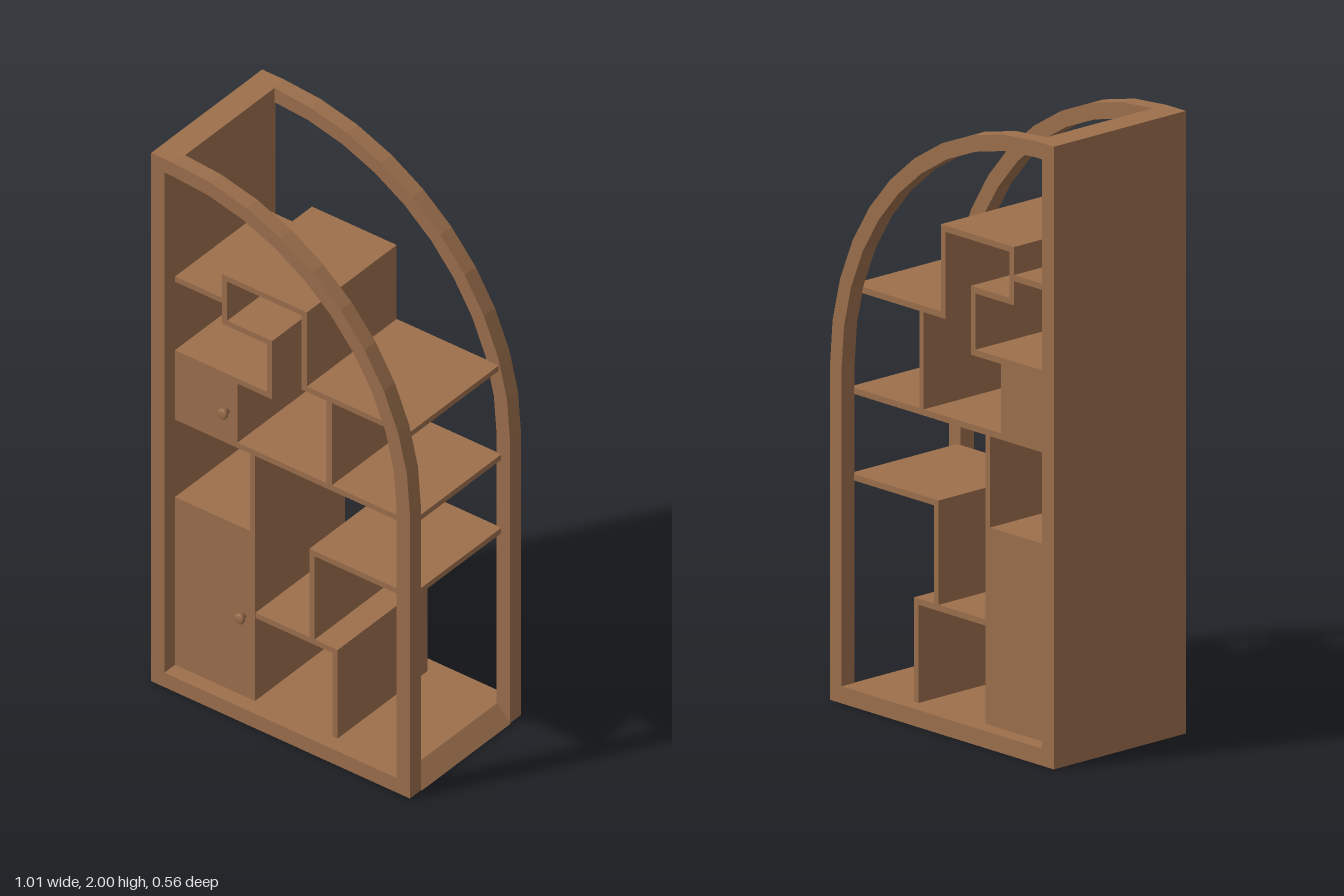
import * as THREE from 'three';

export function createModel() {
  const group = new THREE.Group();
  const wood = new THREE.MeshStandardMaterial({ color: 0x9c6f4c });
  wood.name = 'brown wood';

  const add = (name, geometry) => {
    const mesh = new THREE.Mesh(geometry, wood);
    mesh.name = name;
    group.add(mesh);
    return mesh;
  };
  // Box given by its left, right, bottom and top, running between the two frames
  const board = (name, x0, x1, y0, y1, depth = 0.45) =>
    add(name, new THREE.BoxGeometry(x1 - x0, y1 - y0, depth))
      .position.set((x0 + x1) / 2, (y0 + y1) / 2, 0);

  // Outline of the quarter arch: straight left side, faceted curve to the right
  const archPoints = (left, bottom, radius) => {
    const points = [new THREE.Vector2(left, bottom), new THREE.Vector2(-0.42 + radius, bottom)];
    for (let i = 0; i <= 10; i++) {
      const a = (i / 10) * Math.PI / 2;
      points.push(new THREE.Vector2(-0.42 + radius * Math.cos(a), 1.078 + radius * Math.sin(a)));
    }
    points.push(new THREE.Vector2(left, 1.078 + radius));
    return points;
  };

  // Front and back arched frames
  const archShape = new THREE.Shape(archPoints(-0.505, 0, 0.922));
  archShape.holes.push(new THREE.Path(archPoints(-0.453, 0.055, 0.87)));
  for (const [name, z] of [['frontFrame', 0.223], ['backFrame', -0.278]]) {
    add(name, new THREE.ExtrudeGeometry(archShape, { depth: 0.055, bevelEnabled: false })).position.z = z;
  }

  // Side wall, top rail and floor with a sloped open end
  board('sideWall', -0.505, -0.453, 0.055, 1.95);
  board('topRail', -0.505, -0.415, 1.95, 2);
  const floorShape = new THREE.Shape([[-0.505, 0], [0.505, 0], [0.452, 0.055], [-0.505, 0.055]]
    .map(([x, y]) => new THREE.Vector2(x, y)));
  add('floor', new THREE.ExtrudeGeometry(floorShape, { depth: 0.446, bevelEnabled: false })).position.z = -0.223;

  // Horizontal shelves: left, right, bottom
  const t = 0.02;
  [
    [-0.453, -0.25, 1.505],
    [-0.27, 0.06, 1.595],
    [-0.27, -0.075, 1.427],
    [-0.453, -0.075, 1.226],
    [0.04, 0.458, 1.315],
    [-0.453, 0.468, 0.983],
    [0.07, 0.468, 0.705],
    [-0.14, 0.18, 0.37],
  ].forEach(([x0, x1, y]) => board('shelf', x0, x1, y, y + t));

  // Upright dividers: left, bottom, top
  [
    [-0.27, 1.447, 1.595],
    [0.04, 1.335, 1.595],
    [-0.095, 1.246, 1.427],
    [0.137, 1.003, 1.315],
    [-0.162, 0.69, 0.983],
    [0.07, 0.39, 0.705],
    [0.16, 0.055, 0.37],
  ].forEach(([x, y0, y1]) => board('divider', x, x + t, y0, y1));

  // Closed cupboards with round door knobs
  board('upperCupboard', -0.453, -0.21, 1.003, 1.226);
  board('lowerCupboard', -0.453, -0.142, 0.055, 0.69);
  const knobProfile = [[0, 0], [0.01, 0], [0.01, 0.012], [0.018, 0.018], [0.018, 0.026], [0.012, 0.03], [0, 0.03]]
    .map(([r, y]) => new THREE.Vector2(r, y));
  for (const [x, y] of [[-0.25, 1.107], [-0.185, 0.36]]) {
    const knob = add('doorKnob', new THREE.LatheGeometry(knobProfile, 16));
    knob.rotation.x = Math.PI / 2;
    knob.position.set(x, y, 0.225);
  }

  return group;
}
